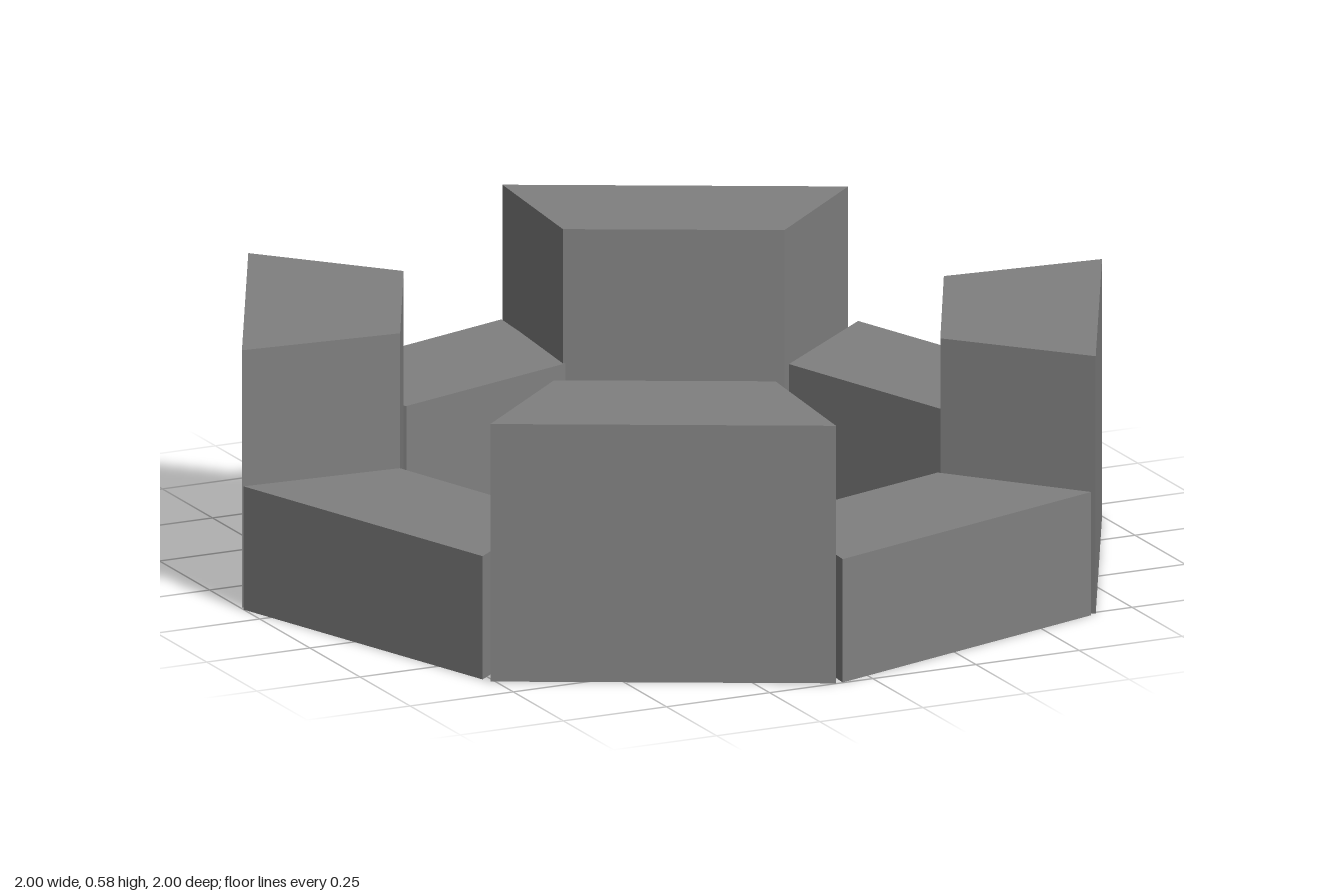
import * as THREE from 'three';

// Upright block from a four-cornered footprint given as [x, z]
function blockGeometry(footprint, height) {
  const shape = new THREE.Shape(footprint.map(([x, z]) => new THREE.Vector2(x, -z)));
  const geometry = new THREE.ExtrudeGeometry(shape, { depth: height, bevelEnabled: false });
  return geometry.rotateX(-Math.PI / 2);
}

export function createModel() {
  const model = new THREE.Group();
  model.name = 'blockRing';
  const material = new THREE.MeshStandardMaterial({ color: 0x808080, flatShading: true });

  // Two block types alternate; nudges give the slightly uneven joints
  const types = [
    {
      name: 'tallBlock',
      height: 0.585,
      footprint: [[-0.76, 0.656], [-0.088, 0.998], [-0.056, 0.63], [-0.487, 0.412]],
      nudges: [[0, 0], [0.001, 0], [-0.013, -0.004], [0.001, -0.007]],
    },
    {
      name: 'lowBlock',
      height: 0.28,
      footprint: [[-0.072, 0.998], [0.643, 0.766], [0.408, 0.484], [-0.05, 0.63]],
      nudges: [[0, 0], [0, -0.006], [0, -0.002], [-0.002, -0.009]],
    },
  ];

  // Four quarter turns of each type close the ring
  for (const { name, height, footprint, nudges } of types) {
    const geometry = blockGeometry(footprint, height);
    nudges.forEach(([x, z], i) => {
      const block = new THREE.Mesh(geometry, material);
      block.name = `${name}${i + 1}`;
      block.rotation.y = (i * Math.PI) / 2;
      block.position.set(x, 0, z);
      model.add(block);
    });
  }
  return model;
}
